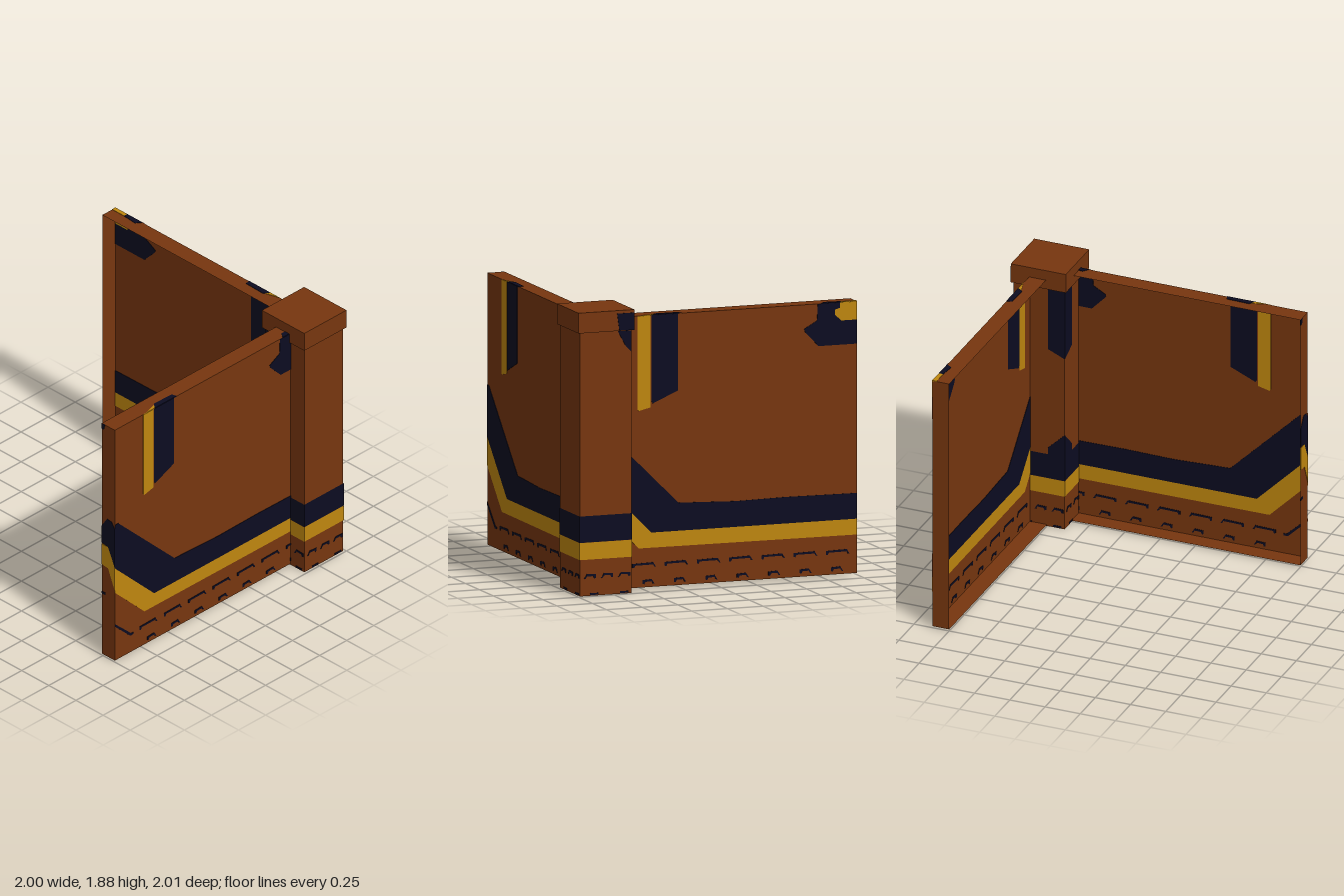
import * as THREE from 'three';

const brown = new THREE.MeshStandardMaterial({ color: 0x77360f, side: THREE.DoubleSide });
brown.name = 'brown clay';
const navy = new THREE.MeshStandardMaterial({ color: 0x0c0c21 });
navy.name = 'dark navy paint';
const gold = new THREE.MeshStandardMaterial({ color: 0xbf870f });
gold.name = 'gold paint';

const THICK = 0.12, TOP = 1.81, BASE = 0.01;

// Keep the part of a polygon between x = lo and x = hi
function clip(points, lo, hi) {
  for (const [limit, sign] of [[lo, 1], [hi, -1]]) {
    const out = [];
    points.forEach((a, i) => {
      const b = points[(i + 1) % points.length];
      const da = sign * (a[0] - limit), db = sign * (b[0] - limit);
      if (da >= 0) out.push(a);
      if (da * db < 0) {
        const t = da / (da - db);
        out.push([limit, a[1] + t * (b[1] - a[1])]);
      }
    });
    points = out;
  }
  return points;
}

// Thin painted plate, centred on its plane so it shows on both sides
function plate(name, points, material) {
  const shape = new THREE.Shape(points.map(p => new THREE.Vector2(p[0], p[1])));
  const geo = new THREE.ExtrudeGeometry(shape, { depth: 0.006, bevelEnabled: false });
  geo.translate(0, 0, -0.003);
  const mesh = new THREE.Mesh(geo, material);
  mesh.name = name;
  return mesh;
}

function box(name, size, position, material, skip = []) {
  const geo = new THREE.BoxGeometry(...size);
  const index = Array.from(geo.index.array);
  geo.setIndex(index.filter((_, i) => !skip.includes(Math.floor(i / 6))));
  geo.clearGroups();
  const mesh = new THREE.Mesh(geo, material);
  mesh.name = name;
  mesh.position.set(...position);
  return mesh;
}

const rect = (x0, x1, y0, y1) => [[x0, y0], [x1, y0], [x1, y1], [x0, y1]];

// Brush mark with small drooping ends
const dash = (x, y, w) => [
  [x - w, y - 0.022], [x - w + 0.012, y - 0.02], [x - w + 0.02, y - 0.005], [x + w - 0.02, y - 0.006],
  [x + w - 0.012, y - 0.022], [x + w, y - 0.018], [x + w, y + 0.006], [x - w + 0.02, y + 0.01]];

// Decoration shared by both walls, as [name, points, material]
const facePaint = [
  ['navyBand', [[-1, 0.37], [0.44, 0.37], [0.8, 0.73], [0.8, 1.07], [0.77, 1.07], [0.25, 0.555],
    [0.1, 0.55], [-0.15, 0.54], [-0.5, 0.545], [-1, 0.54]], navy],
  ['goldBand', [[-1, 0.265], [0.53, 0.27], [0.8, 0.54], [0.8, 0.73], [0.44, 0.37], [-1, 0.37]], gold],
  ['navyStripe', [[0.255, 1.3], [0.43, 1.225], [0.44, 1.24], [0.44, TOP], [0.255, TOP]], navy],
  ['goldStripe', [[0.447, 1.2], [0.53, 1.18], [0.538, 1.19], [0.538, TOP], [0.447, TOP]], gold],
  ['cornerGold', [[-1, 1.69], [-0.89, 1.69], [-0.845, 1.73], [-0.845, 1.765], [-0.88, 1.775],
    [-0.88, TOP], [-1, TOP]], gold],
  ['cornerNavy', [[-1, 1.53], [-0.73, 1.53], [-0.635, 1.63], [-0.63, 1.65], [-0.72, 1.7], [-0.725, TOP],
    [-0.88, TOP], [-0.88, 1.775], [-0.845, 1.765], [-0.845, 1.73], [-0.89, 1.69], [-1, 1.69]], navy],
  ['slantLine', [[0.63, 0.14], [0.66, 0.14], [0.8, 0.275], [0.8, 0.295], [0.65, 0.155], [0.63, 0.155]], navy],
];
for (let i = 0; i < 7; i++) {
  facePaint.push(['upperDash', dash(-0.865 + i * 0.226, 0.163, 0.083), navy]);
  facePaint.push(['lowerDash', dash(-0.86 + i * 0.22, 0.052, 0.042), navy]);
}
const topPaint = [
  ['topGold', rect(-1, -0.89, 0, 0.03), gold],
  ['topNavy', [[-0.89, 0], [-0.75, 0], [-0.78, 0.04], [-0.89, 0.03]], navy],
  ['topNavy', [[0.23, 0], [0.43, 0], [0.4, 0.04], [0.24, 0.035]], navy],
  ['topGold', [[0.43, 0], [0.51, 0], [0.41, 0.03]], gold],
];

// Wall shell, open on its inner side and where it meets the post
function wall(name, s0, s1, postSide) {
  const group = new THREE.Group();
  group.name = name;
  group.add(box('wallShell', [s1 - s0, TOP - BASE, THICK], [(s0 + s1) / 2, (TOP + BASE) / 2, THICK / 2],
    brown, [4, postSide]));
  for (const [label, points, material] of facePaint) {
    const cut = clip(points, s0, s1);
    if (cut.length > 2) group.add(plate(label, cut, material));
  }
  for (const [label, points, material] of topPaint) {
    const cut = clip(points, s0, s1);
    if (cut.length < 3) continue;
    const mesh = plate(label, cut, material);
    mesh.rotation.x = Math.PI / 2;
    mesh.position.y = TOP;
    group.add(mesh);
  }
  return group;
}

export function createModel() {
  const model = new THREE.Group();
  model.name = 'cornerWall';

  // Two walls at a right angle
  const backWall = wall('backWall', -1, 0.625, 0);
  backWall.position.z = -0.87;
  const sideWall = wall('sideWall', -0.825, 0.8, 1);
  sideWall.rotation.y = -Math.PI / 2;
  sideWall.position.set(0.86, 0, 0.2);
  model.add(backWall, sideWall);

  // Paint wrapping round the free end of the side wall
  const endPaint = [
    ['endNavy', [[0.12, 1.01], [0.07, 1.085], [0.03, 1.08], [0, 1.04], [0, 0.74], [0.06, 0.87], [0.12, 0.88]], navy],
    ['endGold', [[0.12, 0.87], [0.06, 0.87], [0, 0.74], [0, 0.56], [0.06, 0.705], [0.12, 0.71]], gold],
    ['endMark', rect(0.085, 0.12, 0.483, 0.5), navy],
    ['endMark', [[0.12, 1.77], [0.1, 1.77], [0.09, TOP], [0.12, TOP]], navy],
  ];
  for (const [label, points, material] of endPaint) {
    const mesh = plate(label, points, material);
    mesh.rotation.y = -Math.PI / 2;
    mesh.position.x = 0.8;
    sideWall.add(mesh);
  }

  // Corner post with cap and painted bands
  const post = new THREE.Group();
  post.name = 'cornerPost';
  post.position.set(0.805, 0, -0.805);
  post.add(
    box('postShaft', [0.36, 1.75, 0.36], [0, 0.875, 0], brown),
    box('postCap', [0.39, 0.135, 0.39], [0, 1.8125, 0], brown),
    box('postNavyBand', [0.366, 0.175, 0.366], [0, 0.442, 0], navy, [2, 3]),
    box('postGoldBand', [0.366, 0.113, 0.366], [0, 0.297, 0], gold, [2, 3]),
    box('baseMark', [0.1, 0.004, 0.08], [0, 0, 0], navy));

  // Marks on each post side; the two inner sides carry extra paint at their shared corner
  for (let side = 0; side < 4; side++) {
    const face = new THREE.Group();
    face.name = 'postSide';
    face.rotation.y = side * Math.PI / 2;
    const add = (label, points, material, z = 0.18) => {
      const mesh = plate(label, points, material);
      mesh.position.z = z;
      face.add(mesh);
    };
    for (const x of [-0.11, 0.01, 0.13]) add('postDash', dash(x, 0.135, 0.042), navy);
    for (const x of [-0.08, 0.13]) add('postLowDash', rect(x - 0.03, x + 0.03, 0.005, 0.017), navy);
    if (side === 0 || side === 3) {
      const m = side === 0 ? 1 : -1;
      add('innerNavy', [[-0.18, 0.5], [-0.065, 0.5], [-0.065, 0.58], [-0.15, 0.66], [-0.18, 0.69]]
        .map(p => [p[0] * m, p[1]]), navy);
      add('innerStripe', [[-0.18, 1.25], [-0.065, 1.3], [-0.065, 1.745], [-0.18, 1.745]]
        .map(p => [p[0] * m, p[1]]), navy);
    }
    if (side === 2) {
      add('shaftPatch', [[0.18, 1.6], [0.14, 1.64], [0.085, 1.74], [0.18, 1.74]], navy);
      add('capPatch', [[0.195, 1.746], [0.09, 1.746], [0.075, 1.86], [0.195, 1.86]], navy, 0.195);
    }
    post.add(face);
  }
  model.add(post);
  return model;
}
